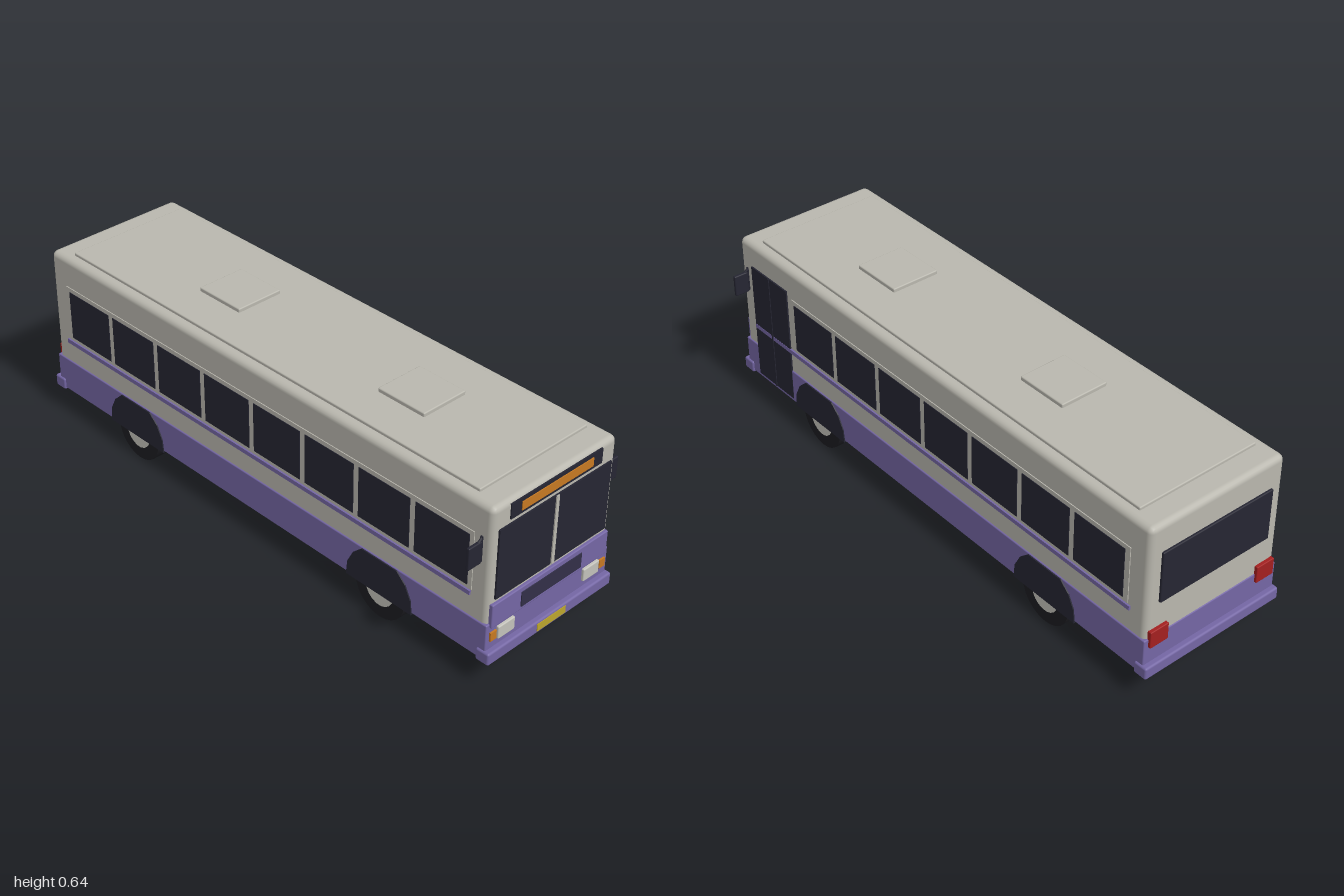
import * as THREE from 'three';
import { RoundedBoxGeometry } from 'three/addons/geometries/RoundedBoxGeometry.js';

const paint = (name, color) => {
  const m = new THREE.MeshStandardMaterial({ color });
  m.name = name;
  return m;
};

export function createModel() {
  const bus = new THREE.Group();
  bus.name = 'cityBus';

  const grey = paint('bodyGrey', 0xb9b7ae);
  const purple = paint('trimPurple', 0x7466a4);
  const dark = paint('darkGlass', 0x252532);
  const grille = paint('grilleDark', 0x322f48);
  const rubber = paint('tyreBlack', 0x1c1c21);
  const lens = paint('lampWhite', 0xc3c2ba);
  const orange = paint('signalOrange', 0xc67922);
  const yellow = paint('plateYellow', 0xbba52c);
  const red = paint('tailRed', 0xa31f1f);

  const add = (name, geometry, material, parent = bus) => {
    const mesh = new THREE.Mesh(geometry, material);
    mesh.name = name;
    parent.add(mesh);
    return mesh;
  };
  // Box given by its limits on each axis; a radius rounds the edges
  const box = (name, material, [x0, x1], [y0, y1], [z0, z1], radius = 0) => {
    const size = [x1 - x0, y1 - y0, z1 - z0];
    const g = radius ? new RoundedBoxGeometry(...size, 2, radius) : new THREE.BoxGeometry(...size);
    g.translate((x0 + x1) / 2, (y0 + y1) / 2, (z0 + z1) / 2);
    return add(name, g, material);
  };
  // Limits for the given side: +1 is the model's left, -1 its right
  const on = (side, a, b) => (side > 0 ? [a, b] : [-b, -a]);

  // Shell, lower skirt, underframe and bumpers
  box('body', grey, [-0.26, 0.26], [0.12, 0.62], [-0.978, 0.978], 0.02);
  box('skirt', purple, [-0.264, 0.264], [0.094, 0.22], [-0.981, 0.981], 0.004);
  box('chassis', dark, [-0.23, 0.23], [0.058, 0.1], [-0.915, 0.915]);
  box('frontBumper', purple, [-0.27, 0.27], [0.087, 0.13], [0.95, 1], 0.007);
  box('rearBumper', purple, [-0.27, 0.27], [0.087, 0.13], [-1, -0.95], 0.007);

  // Roof panel and hatches
  box('roofPanel', grey, [-0.225, 0.225], [0.61, 0.63], [-0.895, 0.895], 0.004);
  for (const z of [0.46, -0.333])
    box('roofHatch', grey, [-0.087, 0.087], [0.625, 0.643], [z - 0.093, z + 0.093], 0.004);

  // Front face
  box('signPanel', dark, [-0.192, 0.192], [0.557, 0.608], [0.974, 0.982]);
  box('signDisplay', orange, [-0.15, 0.15], [0.568, 0.597], [0.976, 0.985]);
  box('windscreen', dark, [-0.236, 0.236], [0.303, 0.543], [0.975, 0.984]);
  box('windscreenPost', grey, [-0.006, 0.006], [0.303, 0.543], [0.98, 0.988]);
  box('frontPanel', purple, [-0.25, 0.25], [0.207, 0.29], [0.965, 0.988], 0.004);
  box('frontGrille', grille, [-0.13, 0.13], [0.221, 0.273], [0.983, 0.991]);
  box('numberPlate', yellow, [-0.062, 0.062], [0.097, 0.123], [0.994, 1.002]);

  // Rear window
  box('rearWindow', dark, [-0.215, 0.215], [0.34, 0.522], [-0.986, -0.974], 0.004);

  // Wheel arch outline, centred on the axle
  const arch = new THREE.Shape(
    [[-0.135, 0.09], [0.135, 0.09], [0.13, 0.14], [0.107, 0.185], [0.072, 0.217],
      [-0.072, 0.217], [-0.107, 0.185], [-0.13, 0.14]].map(([x, y]) => new THREE.Vector2(x, y)));

  for (const side of [1, -1]) {
    // Lamps
    box('headlight', lens, on(side, 0.15, 0.22), [0.153, 0.198], [0.975, 0.99], 0.004);
    box('indicator', orange, on(side, 0.225, 0.25), [0.16, 0.19], [0.976, 0.987]);
    box('tailLamp', red, on(side, 0.178, 0.248), [0.19, 0.25], [-0.99, -0.972], 0.003);

    // Row of side windows on a raised frame; the door takes one place on the left
    const count = side > 0 ? 7 : 8;
    const end = -0.886 + (count - 1) * 0.226 + 0.205;
    box('windowFrame', grey, on(side, 0.25, 0.263), [0.312, 0.515], [-0.905, end + 0.015]);
    for (let i = 0; i < count; i++) {
      const z = -0.886 + i * 0.226;
      box('sideWindow', dark, on(side, 0.257, 0.265), [0.325, 0.5], [z, z + 0.205]);
    }
    box('sideStripe', purple, on(side, 0.257, 0.2662), [0.294, 0.309], [-0.915, 0.913]);

    // Mirror and its arm
    box('mirror', dark, on(side, 0.264, 0.317), [0.426, 0.502], [0.936, 0.948], 0.004);
    const armPath = new THREE.LineCurve3(
      new THREE.Vector3(side * 0.252, 0.518, 0.942), new THREE.Vector3(side * 0.285, 0.488, 0.942));
    const armPath2 = new THREE.TubeGeometry(armPath, 1, 0.005, 6);
    add('mirrorArm', armPath2, dark);
    box('mirrorBracket', dark, on(side, 0.255, 0.264), [0.43, 0.515], [0.938, 0.946]);

    // Wheels with hubs, and the arches over them
    for (const z of [0.562, -0.562]) {
      const tyre = add('tyre', new THREE.CylinderGeometry(0.1, 0.1, 0.064, 24), rubber);
      tyre.rotation.z = Math.PI / 2;
      tyre.position.set(side * 0.228, 0.1, z);
      const hub = add('hub', new THREE.CylinderGeometry(0.055, 0.055, 0.01, 18), lens);
      hub.rotation.z = Math.PI / 2;
      hub.position.set(side * 0.258, 0.1, z);
      const cover = add('wheelArch',
        new THREE.ExtrudeGeometry(arch, { depth: 0.012, bevelEnabled: false }), dark);
      cover.rotation.y = side * Math.PI / 2;
      cover.position.set(side * 0.256, 0, z);
    }
  }

  // Two-leaf door on the left with a centre seam
  box('door', dark, [0.256, 0.2653], [0.106, 0.534], [0.715, 0.913]);
  box('doorSeam', dark, [0.26, 0.268], [0.106, 0.534], [0.811, 0.817]);

  return bus;
}
